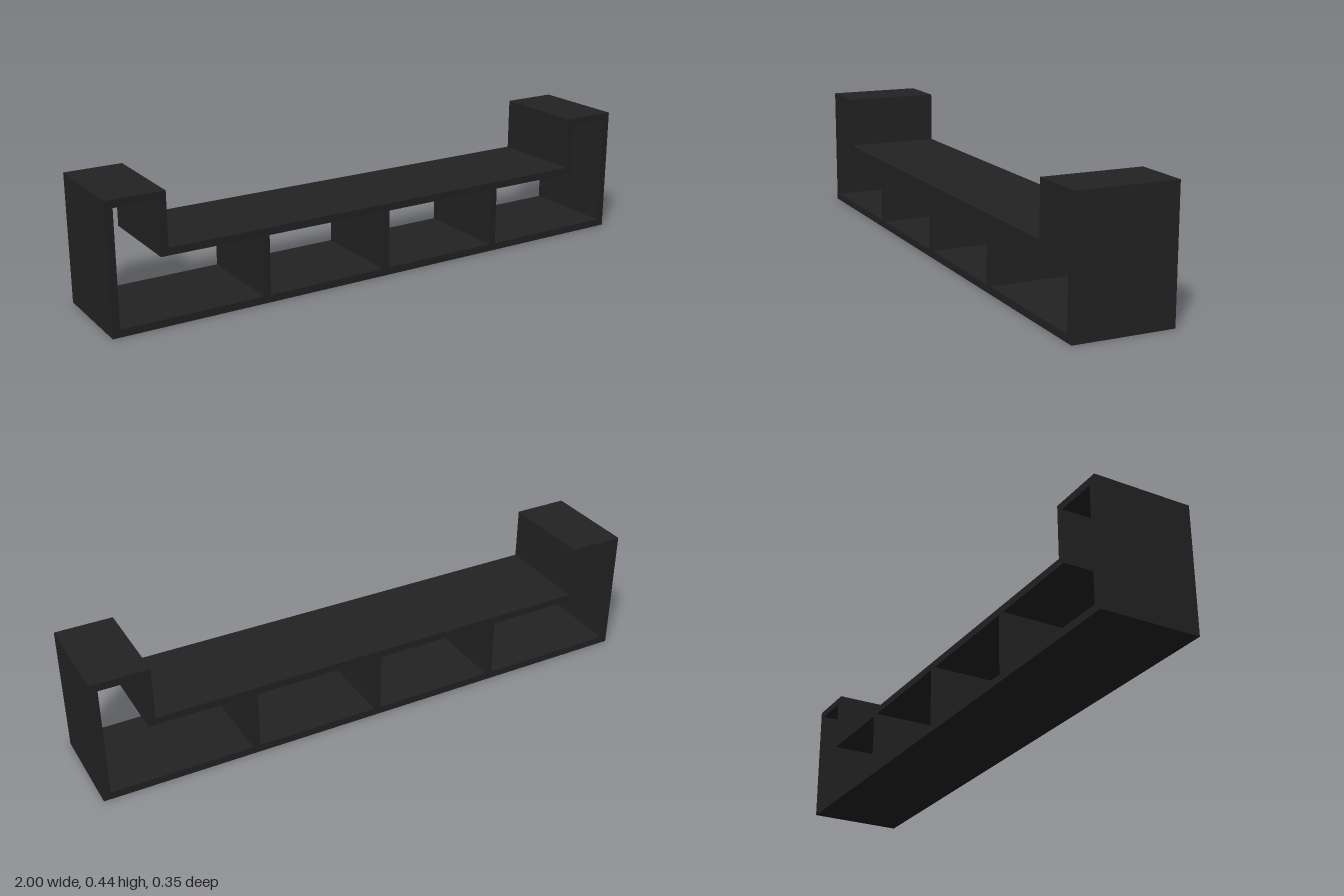
import * as THREE from 'three';

const T = 0.026;      // board thickness
const DEPTH = 0.346;
const H = 0.445;      // height of the end towers
const SHELF = 0.26;   // top of the long shelf
const INNER = 0.802;  // shelf-side face of each tower

export function createModel() {
  const group = new THREE.Group();
  const material = new THREE.MeshStandardMaterial({ color: 0x222222 });

  // A board running the full depth, given by its front rectangle
  function board(name, x0, x1, y0, y1) {
    const mesh = new THREE.Mesh(new THREE.BoxGeometry(x1 - x0, y1 - y0, DEPTH), material);
    mesh.position.set((x0 + x1) / 2, (y0 + y1) / 2, 0);
    mesh.name = name;
    group.add(mesh);
  }

  // The same board on both ends
  function pair(name, x0, x1, y0, y1) {
    board('left' + name, x0, x1, y0, y1);
    board('right' + name, -x1, -x0, y0, y1);
  }

  // Long horizontal boards
  board('bottomBoard', -1 + T, 1 - T, 0, T);
  board('shelfBoard', -INNER - T, INNER + T, SHELF - T, SHELF);

  // Raised end towers, open front and back
  pair('SidePanel', 1 - T, 1, 0, H);
  pair('TowerTop', INNER, 1 - T, H - T, H);
  pair('TowerInnerPanel', INNER, INNER + T, SHELF, H - T);

  // Upright dividers under the shelf
  ['rightDivider', 'middleDivider', 'leftDivider'].forEach((name, i) => {
    const x = (i - 1) * 0.463;
    board(name, x - T / 2, x + T / 2, T, SHELF - T);
  });

  return group;
}
